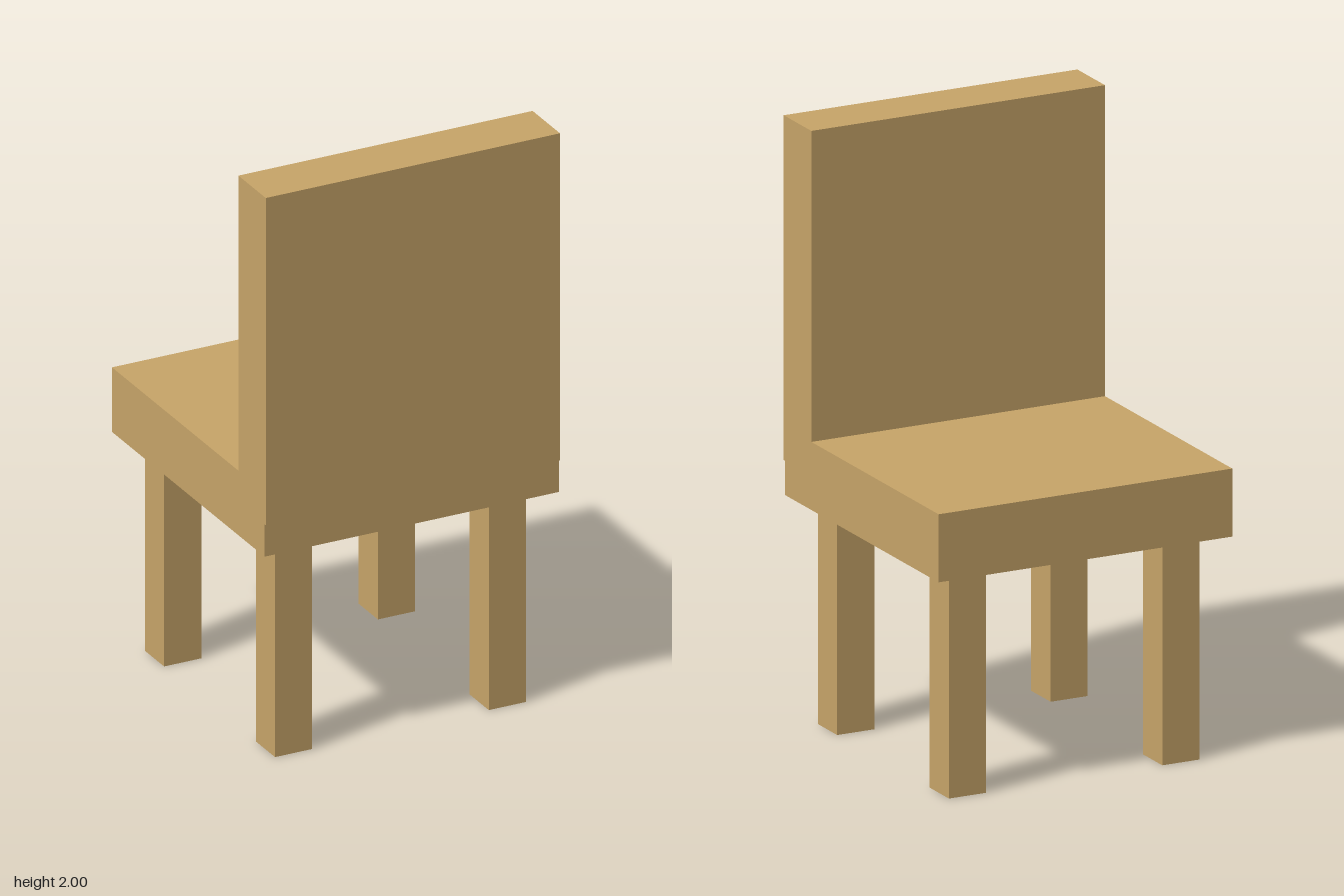
import * as THREE from 'three';

export function createModel() {
  const model = new THREE.Group();
  model.name = 'chair';
  const wood = new THREE.MeshStandardMaterial({ color: 0xc8a569 });
  wood.name = 'lightWood';

  // Box given by its bottom height, so parts stack from the floor up
  function addBlock(name, [w, h, d], x, bottom, z) {
    const mesh = new THREE.Mesh(new THREE.BoxGeometry(w, h, d), wood);
    mesh.name = name;
    mesh.position.set(x, bottom + h / 2, z);
    model.add(mesh);
  }

  const seatZ = -0.004;
  const seatBottom = 0.747;

  // Seat slab
  addBlock('seat', [1.046, 0.225, 1.046], 0, seatBottom, seatZ);

  // Backrest, standing slightly proud of the seat's +z edge
  addBlock('backrest', [1.046, 1.14, 0.188], 0, 0.86, 0.433);

  // Four square legs
  for (const sx of [1, -1]) {
    for (const sz of [1, -1]) {
      const name = (sx > 0 ? 'left' : 'right') + (sz > 0 ? 'Front' : 'Back') + 'Leg';
      addBlock(name, [0.132, seatBottom, 0.132], sx * 0.38, 0, seatZ + sz * 0.38);
    }
  }
  return model;
}
